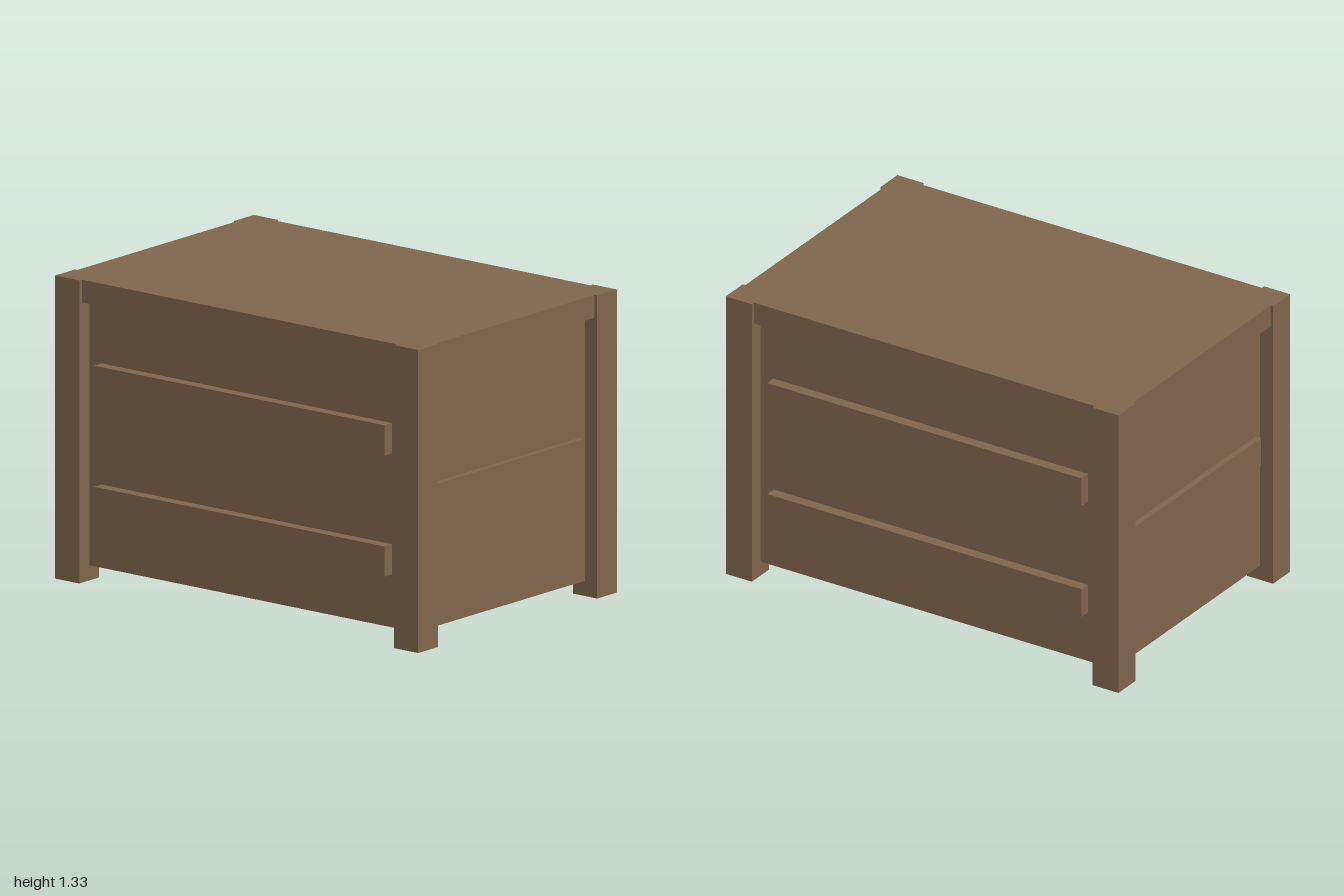
import * as THREE from 'three';

export function createModel() {
  const group = new THREE.Group();
  group.name = 'crate';
  const wood = new THREE.MeshStandardMaterial({ color: 0x80664d });
  wood.name = 'brown wood';

  // Box given by its size, centre x and z, and bottom height
  function box(name, w, h, d, x, y, z) {
    const mesh = new THREE.Mesh(new THREE.BoxGeometry(w, h, d), wood);
    mesh.name = name;
    mesh.position.set(x, y + h / 2, z);
    group.add(mesh);
  }

  const height = 1.333, post = 0.133;
  const bodyX = 0.933, bodyZ = 0.6;

  // Recessed body and overhanging lid
  box('body', bodyX * 2, 1.18, bodyZ * 2, 0, 0.067, 0);
  box('lid', 1.974, 0.1, 1.3, 0, height - 0.1, 0);

  for (const s of [-1, 1]) {
    const side = s > 0 ? 'left' : 'right';
    const end = s > 0 ? 'front' : 'back';

    // Corner posts
    for (const t of [-1, 1]) {
      box(`${side}${t > 0 ? 'Front' : 'Back'}Post`, post, height, post,
        s * (1 - post / 2), 0, t * (0.667 - post / 2));
    }

    // Two rails on front and back
    box(`${end}LowerRail`, 1.6, 0.133, 0.05, 0, 0.3, s * (bodyZ + 0.025));
    box(`${end}UpperRail`, 1.6, 0.133, 0.05, 0, 0.833, s * (bodyZ + 0.025));

    // One rail on each side
    box(`${side}SideRail`, 0.027, 0.133, 1, s * (bodyX + 0.0135), 0.57, 0);
  }
  return group;
}
